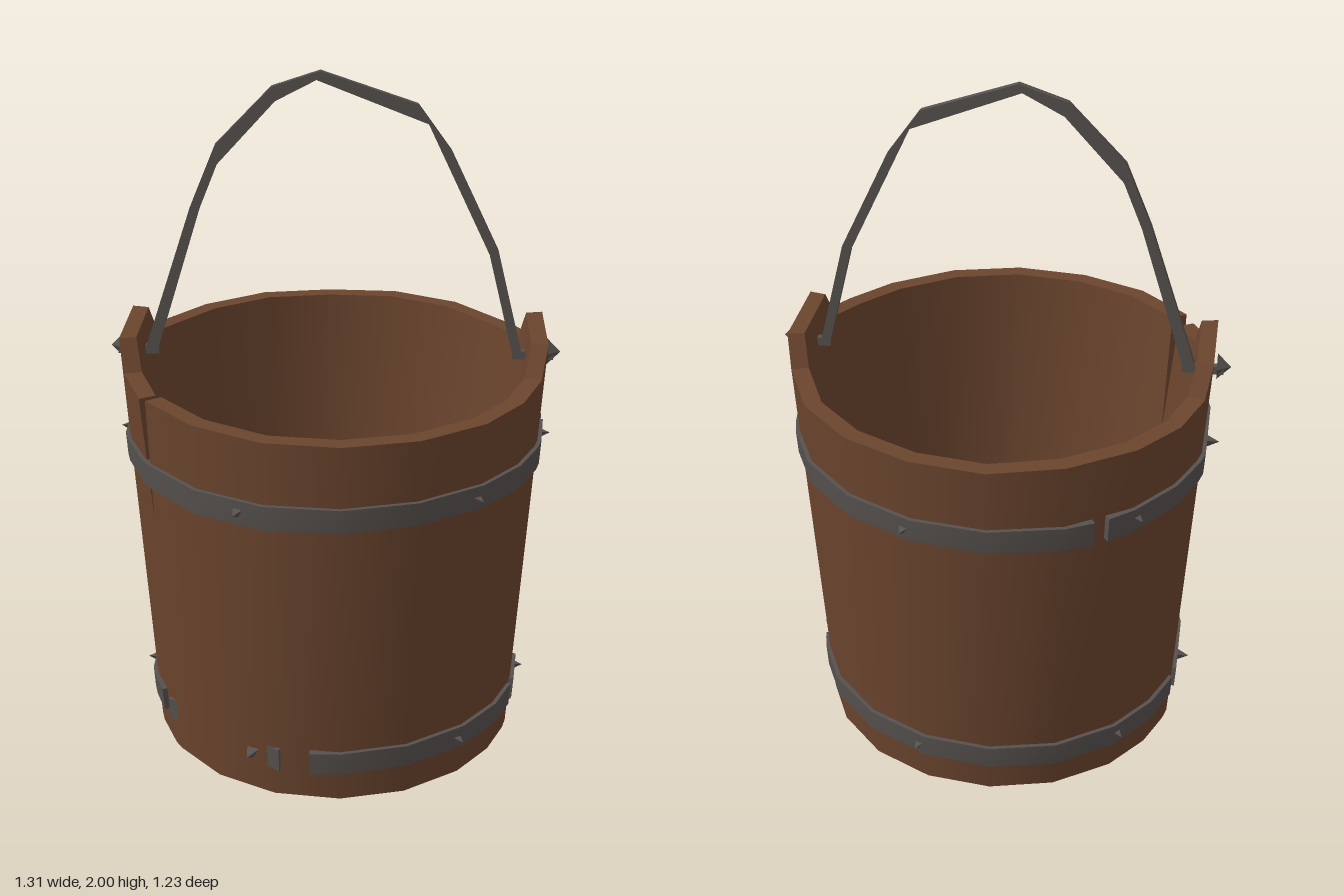
import * as THREE from 'three';
import { toCreasedNormals } from 'three/addons/utils/BufferGeometryUtils.js';

const wood = new THREE.MeshStandardMaterial({ color: 0x6b452e });
wood.name = 'brown wood';
const iron = new THREE.MeshStandardMaterial({ color: 0x56514e });
iron.name = 'grey iron';

const rad = THREE.MathUtils.degToRad;
const outerR = y => 0.547 + 0.06 * y;
const innerR = y => 0.478 + 0.076 * y;

// Stave columns around the bucket: [angle from the front, top height].
// Two raised ears and one V-shaped crack come from the heights.
const columns = [
  [4, 1.15], [24, 1.15], [44, 1.15], [60, 1.155], [73, 1.17], [77.5, 1.26], [102.5, 1.26], [107, 1.17],
  [124, 1.15], [144, 1.155], [164, 1.155], [184, 1.15], [204, 1.155], [224, 1.155], [240, 1.155],
  [253, 1.17], [257.5, 1.26], [282.5, 1.26], [287, 1.17],
  [300.6, 1.15], [302.6, 0.78], [304.6, 1.16], [324, 1.155], [344, 1.15],
];

// Sweeps a four-point (radius, height) section around the y axis
function sweep(angles, section, closed) {
  const pos = [], idx = [], n = angles.length;
  angles.forEach((deg, i) => {
    const a = rad(deg);
    for (const [r, y] of section(i)) pos.push(r * Math.sin(a), y, r * Math.cos(a));
  });
  for (let i = 0; i < (closed ? n : n - 1); i++) {
    const p = i * 4, q = ((i + 1) % n) * 4;
    for (let k = 0; k < 4; k++) {
      const m = (k + 1) % 4;
      idx.push(p + k, q + k, q + m, p + k, q + m, p + m);
    }
  }
  if (!closed) {
    const e = (n - 1) * 4;
    idx.push(0, 1, 2, 0, 2, 3, e, e + 2, e + 1, e, e + 3, e + 2);
  }
  const g = new THREE.BufferGeometry();
  g.setAttribute('position', new THREE.Float32BufferAttribute(pos, 3));
  g.setIndex(idx);
  return toCreasedNormals(g, rad(40));
}

function add(parent, name, geometry, material) {
  const mesh = new THREE.Mesh(geometry, material);
  mesh.name = name;
  parent.add(mesh);
  return mesh;
}

// Iron hoop made of arcs, with small gaps where it is broken, and studs
function addHoop(parent, name, y, arcs) {
  const hoop = new THREE.Group();
  hoop.name = name;
  const stops = columns.map(c => c[0]);
  for (const [from, to] of arcs) {
    const inside = [...stops, ...stops.map(s => s + 360)].filter(s => s > from && s < to);
    const angles = [from, ...inside, to];
    add(hoop, 'hoopArc', sweep(angles, i => {
      const wave = 0.006 * Math.sin(rad(angles[i] * 3));
      const lo = y - 0.036 + wave, hi = y + 0.036 + wave * 0.5;
      return [[outerR(lo) + 0.012, lo], [outerR(hi) + 0.012, hi],
        [outerR(hi) - 0.02, hi], [outerR(lo) - 0.02, lo]];
    }, false), iron);
  }
  for (const deg of [-23, 42, 90, 162, 225, 270]) {
    const stud = add(hoop, 'stud', new THREE.ConeGeometry(0.022, 0.04, 3).toNonIndexed(), iron);
    stud.geometry.computeVertexNormals();
    const r = outerR(y) + 0.014;
    stud.position.set(r * Math.sin(rad(deg)), y, r * Math.cos(rad(deg)));
    stud.rotation.set(Math.PI / 2, rad(deg), 0, 'YXZ');
  }
  parent.add(hoop);
}

export function createModel() {
  const bucket = new THREE.Group();
  bucket.name = 'bucket';

  // Wooden wall with ears and crack
  add(bucket, 'wall', sweep(columns.map(c => c[0]), i => {
    const top = columns[i][1];
    return [[outerR(0), 0], [outerR(top), top], [innerR(top), top], [innerR(0), 0]];
  }, true), wood);

  // Recessed floor
  const floor = add(bucket, 'floor', new THREE.CylinderGeometry(0.49, 0.485, 0.045, 18), wood);
  floor.position.y = 0.04;

  addHoop(bucket, 'upperHoop', 0.93, [[95.5, 212], [216, 452]]);
  addHoop(bucket, 'lowerHoop', 0.13, [[-59, -14], [-5, 73], [76, 91], [100, 254], [258, 296]]);

  // Bent iron handle, outer edge then inner edge
  const outline = [
    [-0.56, 1.16], [-0.41, 1.61], [-0.335, 1.79], [-0.175, 1.955], [-0.04, 2.0], [0.23, 1.91],
    [0.325, 1.78], [0.465, 1.49], [0.545, 1.17],
    [0.515, 1.18], [0.44, 1.48], [0.26, 1.855], [-0.05, 1.975], [-0.165, 1.915],
    [-0.33, 1.735], [-0.385, 1.6], [-0.52, 1.17],
  ].map(([x, y]) => new THREE.Vector2(x, y));
  const strap = new THREE.ExtrudeGeometry(new THREE.Shape(outline), { depth: 0.02, bevelEnabled: false });
  strap.translate(0, 0, -0.015);
  add(bucket, 'handle', strap, iron);

  // Pins through the ears with pointed heads
  for (const side of [-1, 1]) {
    const pin = add(bucket, 'handlePin', new THREE.BoxGeometry(0.12, 0.025, 0.02), iron);
    pin.position.set(side * 0.575, 1.175, -0.005);
    const cone = new THREE.ConeGeometry(0.042, 0.04, 4).toNonIndexed();
    cone.computeVertexNormals();
    const head = add(bucket, 'pinHead', cone, iron);
    head.scale.z = 0.6;
    head.position.set(side * 0.635, 1.185, -0.005);
    head.rotation.z = -side * Math.PI / 2;
  }
  return bucket;
}
